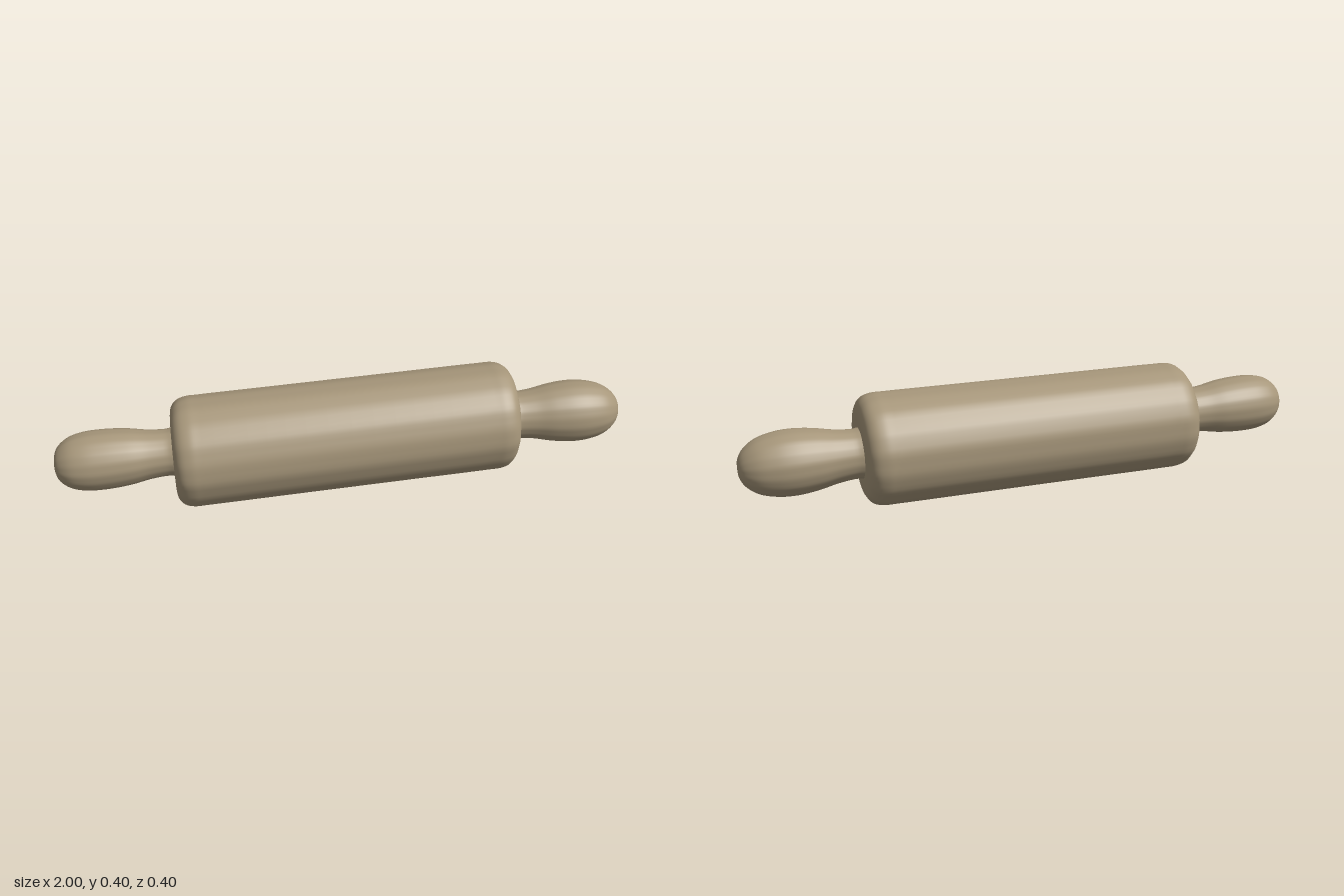
import * as THREE from 'three';
import { mergeVertices } from 'three/addons/utils/BufferGeometryUtils.js';

const wood = new THREE.MeshStandardMaterial({ color: 0xa6967a });
wood.name = 'wood';

// Turn a smooth profile of [distance along axis, radius], with faint carved grain running lengthwise
function turned(points, grain) {
  const curve = new THREE.CatmullRomCurve3(points.map(([d, r]) => new THREE.Vector3(r, d, 0)), false, 'centripetal');
  const profile = curve.getPoints(points.length * 5).map((p) => new THREE.Vector2(Math.max(p.x, 0), p.y));
  profile[0].x = 0;
  profile[profile.length - 1].x = 0;
  const geo = new THREE.LatheGeometry(profile, 72);
  const pos = geo.attributes.position;
  for (let i = 0; i < pos.count; i++) {
    const a = Math.atan2(pos.getZ(i), pos.getX(i));
    const k = 1 + grain * (Math.sin(a * 9) * 0.4 + Math.sin(a * 17 + 1) * 0.6);
    pos.setX(i, pos.getX(i) * k);
    pos.setZ(i, pos.getZ(i) * k);
  }
  geo.deleteAttribute('uv');
  geo.deleteAttribute('normal');
  const merged = mergeVertices(geo, 1e-4);
  merged.computeVertexNormals();
  return merged;
}

// Lay a turned part along x and let its centre line drift slightly
function lay(geo, side, y, z, slopeY, slopeZ) {
  geo.rotateZ(-side * Math.PI / 2);
  const pos = geo.attributes.position;
  for (let i = 0; i < pos.count; i++) {
    const x = pos.getX(i);
    pos.setY(i, pos.getY(i) + y + slopeY * x);
    pos.setZ(i, pos.getZ(i) + z + slopeZ * x);
  }
  geo.computeVertexNormals();
  return geo;
}

function addPart(group, name, geo) {
  const mesh = new THREE.Mesh(geo, wood);
  mesh.name = name;
  group.add(mesh);
}

export function createModel() {
  const group = new THREE.Group();
  group.name = 'rollingPin';

  // Barrel with rounded shoulders
  const half = [[0.6, 0], [0.6, 0.07], [0.6, 0.13], [0.593, 0.16], [0.575, 0.18], [0.545, 0.19], [0.5, 0.191], [0.2, 0.191]];
  const barrel = [...half.map(([d, r]) => [-d, r]), ...half.slice().reverse()];
  addPart(group, 'barrel', lay(turned(barrel, 0.008), 1, 0.207, -0.002, 0.0185, -0.013));

  // Bulbous handles, the left one a little fuller
  const leftHandle = [[0.56, 0], [0.57, 0.086], [0.62, 0.084], [0.68, 0.09], [0.75, 0.104], [0.82, 0.111],
    [0.88, 0.107], [0.94, 0.09], [0.98, 0.06], [0.997, 0.03], [1, 0]];
  const rightHandle = [[0.56, 0], [0.57, 0.085], [0.62, 0.081], [0.68, 0.085], [0.75, 0.097], [0.83, 0.103],
    [0.9, 0.1], [0.95, 0.086], [0.985, 0.058], [0.997, 0.03], [1, 0]];
  addPart(group, 'leftHandle', lay(turned(leftHandle, 0.008), 1, 0.216, -0.02, -0.01, 0.018));
  addPart(group, 'rightHandle', lay(turned(rightHandle, 0.008), -1, 0.204, -0.008, 0.002, -0.022));

  return group;
}
